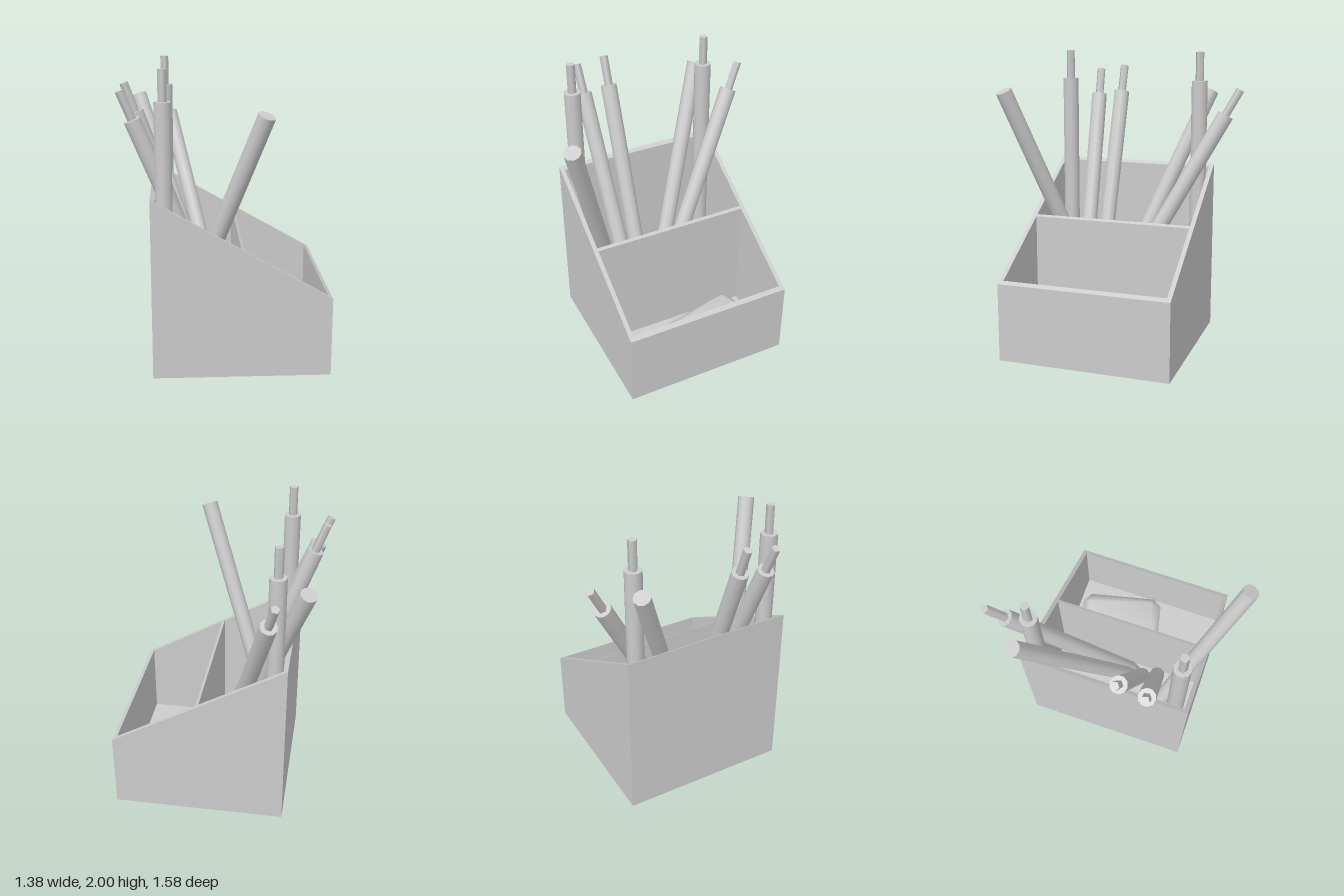
import * as THREE from 'three';
import { mergeVertices } from 'three/addons/utils/BufferGeometryUtils.js';

const material = new THREE.MeshStandardMaterial({ color: 0xcccccc });
const FLOOR = 0.03;
const X0 = -0.48, X1 = 0.69, Z0 = -0.575, Z1 = 0.595, WALL = 0.03;

// Height of the sloping rim at x
const rimHeight = (x) => 1.2 - 0.67 * (x - X0) / (X1 - X0);

function addMesh(parent, geometry, name) {
  const mesh = new THREE.Mesh(geometry, material);
  mesh.name = name;
  parent.add(mesh);
  return mesh;
}

// Counter-clockwise rectangle in plan
function rectangle(Type, x0, x1, z0, z1) {
  const path = new Type();
  path.moveTo(x0, -z1).lineTo(x1, -z1).lineTo(x1, -z0).lineTo(x0, -z0).closePath();
  return path;
}

// Two-compartment box: a plan with two holes, raised to the sloping rim
function createHolder() {
  const holder = new THREE.Group();
  holder.name = 'holder';
  const pockets = [[X0 + WALL, 0.095], [0.115, X1 - WALL]];
  const plan = rectangle(THREE.Shape, X0, X1, Z0, Z1);
  for (const [a, b] of pockets) {
    plan.holes.push(rectangle(THREE.Path, a, b, Z0 + WALL, Z1 - WALL));
  }
  const walls = new THREE.ExtrudeGeometry(plan, { depth: 1, bevelEnabled: false });
  walls.rotateX(-Math.PI / 2);
  const p = walls.attributes.position;
  for (let i = 0; i < p.count; i++) p.setY(i, p.getY(i) * rimHeight(p.getX(i)));
  walls.computeVertexNormals();
  addMesh(holder, walls, 'wallsAndDivider');

  for (const [a, b] of pockets) {
    const floor = new THREE.BoxGeometry(b - a, FLOOR, Z1 - Z0 - 2 * WALL);
    addMesh(holder, floor, 'compartmentFloor').position.set((a + b) / 2, FLOOR / 2, (Z0 + Z1) / 2);
  }
  return holder;
}

// Stand an upright group at its base and lean it toward a target point
function lean(group, base, target) {
  const from = new THREE.Vector3(...base);
  const direction = new THREE.Vector3(...target).sub(from).normalize();
  group.position.copy(from);
  group.quaternion.setFromUnitVectors(new THREE.Vector3(0, 1, 0), direction);
}

// Pen: tapered tip, round barrel, thin five-sided end
function createPen(base, target) {
  const pen = new THREE.Group();
  pen.name = 'pen';
  const tip = new THREE.CylinderGeometry(0.057, 0.015, 0.2, 10);
  addMesh(pen, tip, 'penTip').position.y = 0.1;
  const barrel = new THREE.CylinderGeometry(0.057, 0.057, 1.57, 10);
  addMesh(pen, barrel, 'penBarrel').position.y = 0.985;
  const end = new THREE.CylinderGeometry(0.03, 0.03, 0.2, 5);
  addMesh(pen, end, 'penEnd').position.y = 1.87;
  lean(pen, base, target);
  return pen;
}

// Plain round pencil
function createPencil(base, target) {
  const pencil = new THREE.Group();
  pencil.name = 'pencil';
  const length = new THREE.Vector3(...base).distanceTo(new THREE.Vector3(...target));
  const rod = new THREE.CylinderGeometry(0.056, 0.056, length, 10);
  addMesh(pencil, rod, 'pencilBody').position.y = length / 2;
  lean(pencil, base, target);
  return pencil;
}

// Soft block with cut corners and bevelled edges
function createEraser() {
  const w = 0.2, l = 0.314, c = 0.06, bevel = 0.05, height = 0.13;
  const outline = new THREE.Shape([
    [w, -l + c], [w, l - c], [w - c, l], [-w + c, l],
    [-w, l - c], [-w, -l + c], [-w + c, -l], [w - c, -l],
  ].map(([x, y]) => new THREE.Vector2(x, y)));
  let block = new THREE.ExtrudeGeometry(outline, {
    depth: height - 2 * bevel, bevelSize: bevel, bevelOffset: -bevel,
    bevelThickness: bevel, bevelSegments: 1,
  });
  block.rotateX(-Math.PI / 2);
  block.deleteAttribute('uv');
  block.deleteAttribute('normal');
  block = mergeVertices(block, 1e-4);
  block.computeVertexNormals();
  const eraser = new THREE.Mesh(block, material);
  eraser.name = 'eraser';
  eraser.position.set(0.382, FLOOR + bevel, -0.173);
  eraser.rotation.y = 0.232;
  return eraser;
}

export function createModel() {
  const model = new THREE.Group();
  model.name = 'deskOrganizer';
  model.add(createHolder(), createEraser());

  const pens = [
    [[-0.392, FLOOR, -0.478], [-0.392, 2, -0.478]],
    [[-0.392, FLOOR, 0.492], [-0.392, 2, 0.492]],
    [[0.03, FLOOR + 0.015, 0.135], [-0.41, 1.76, -0.775]],
    [[0.03, FLOOR, 0.155], [-0.645, 1.88, 0.158]],
    [[0.08, FLOOR, 0.25], [-0.665, 1.855, 0.35]],
  ];
  for (const [base, end] of pens) model.add(createPen(base, end));

  const pencils = [
    [[-0.37, FLOOR + 0.02, 0.24], [0.232, 1.745, 0.737]],
    [[0.0, FLOOR + 0.02, 0.13], [-0.58, 1.72, -0.52]],
  ];
  for (const [base, end] of pencils) model.add(createPencil(base, end));
  return model;
}
